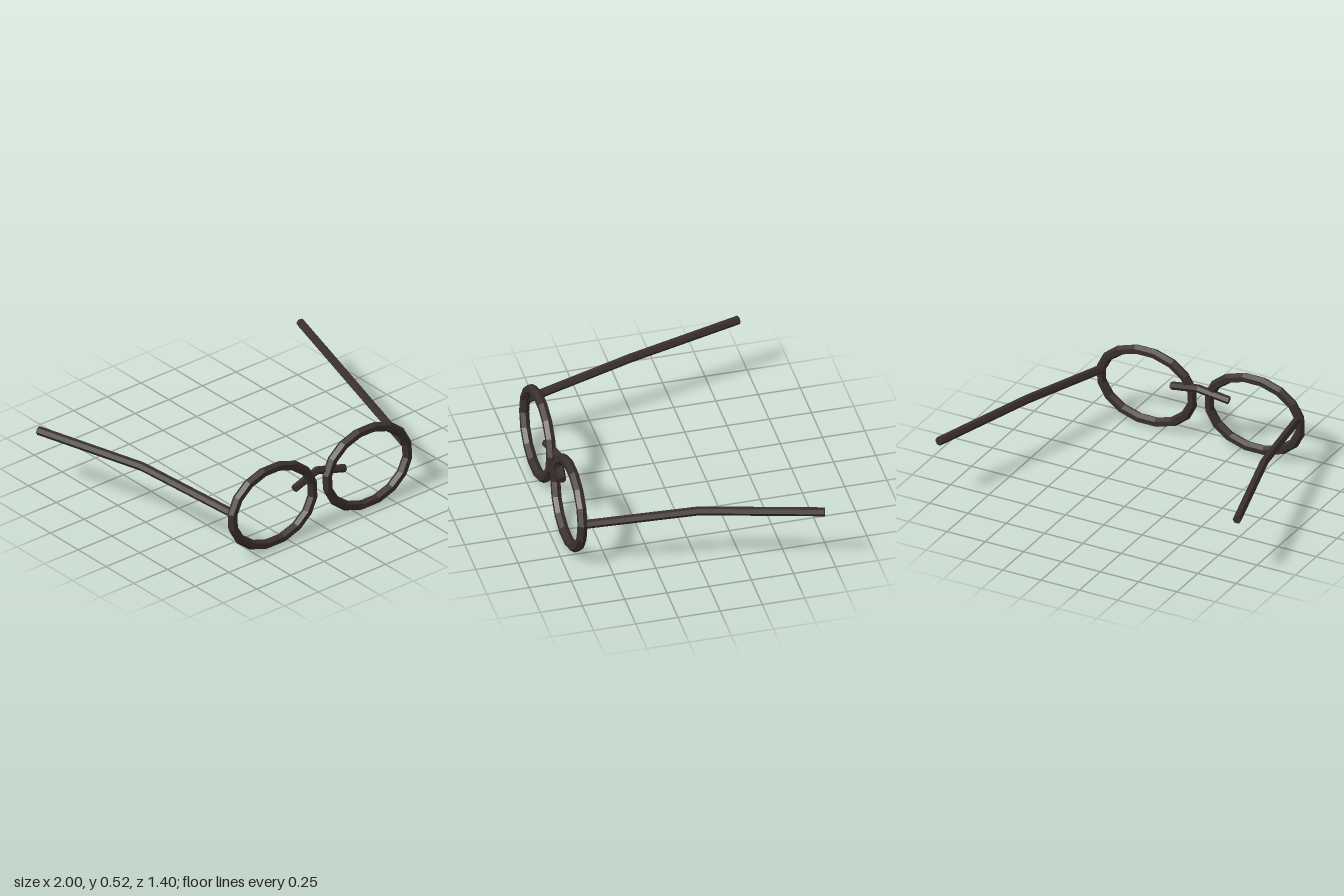
import * as THREE from 'three';

const SIDES = 6;

// Capped hexagonal bar swept through a few points, mitred at the bends
function bar(points, radius) {
  const pts = points.map(p => new THREE.Vector3(...p));
  const last = pts.length - 1;
  const up = new THREE.Vector3(0, 1, 0);
  const verts = [], index = [];
  pts.forEach((p, i) => {
    const tangent = pts[Math.min(i + 1, last)].clone().sub(pts[Math.max(i - 1, 0)]).normalize();
    const side = new THREE.Vector3().crossVectors(up, tangent).normalize();
    const lift = new THREE.Vector3().crossVectors(tangent, side);
    for (let k = 0; k < SIDES; k++) {
      const a = (k / SIDES) * Math.PI * 2;
      const v = p.clone()
        .addScaledVector(side, Math.cos(a) * radius)
        .addScaledVector(lift, Math.sin(a) * radius);
      verts.push(v.x, v.y, v.z);
    }
  });
  for (let i = 0; i < last; i++) {
    for (let k = 0; k < SIDES; k++) {
      const a = i * SIDES + k, b = i * SIDES + (k + 1) % SIDES;
      index.push(a, b, b + SIDES, a, b + SIDES, a + SIDES);
    }
  }
  // End caps
  const e = last * SIDES;
  for (let k = 1; k < SIDES - 1; k++) index.push(0, k + 1, k, e, e + k, e + k + 1);
  const g = new THREE.BufferGeometry();
  g.setAttribute('position', new THREE.Float32BufferAttribute(verts, 3));
  g.setIndex(index);
  const flat = g.toNonIndexed();
  flat.computeVertexNormals();
  return flat;
}

// Sixteen-sided oval ring with an even hexagonal section
function ovalRing(rx, ry, radius) {
  const g = new THREE.TorusGeometry(rx, radius, SIDES, 16);
  g.rotateZ(Math.PI / 16);
  const pos = g.attributes.position;
  for (let i = 0; i < pos.count; i++) {
    const x = pos.getX(i), y = pos.getY(i);
    pos.setY(i, y - (rx - ry) * y / Math.hypot(x, y));
  }
  const flat = g.toNonIndexed();
  flat.computeVertexNormals();
  return flat;
}

export function createModel() {
  const model = new THREE.Group();
  model.name = 'eyeglasses';
  const frame = new THREE.MeshStandardMaterial({ color: 0x3a2f2f });
  frame.name = 'dark brown frame';

  const add = (name, geometry) => {
    const mesh = new THREE.Mesh(geometry, frame);
    mesh.name = name;
    model.add(mesh);
    return mesh;
  };

  for (const [label, s] of [['left', 1], ['right', -1]]) {
    // Rim, leaning back slightly at the top
    const rim = add(label + 'Rim', ovalRing(0.301, 0.235, 0.03));
    rim.position.set(0.352 * s, 0.265, 0.66);
    rim.rotation.x = -0.062;

    // Temple arm with one bend
    add(label + 'Temple', bar([
      [0.638 * s, 0.308, 0.645],
      [0.775 * s, 0.382, 0],
      [0.974 * s, 0.387, -0.692],
    ], 0.026));
  }

  // Nose bridge, arched up and back in the middle
  add('bridge', bar([
    [-0.187, 0.311, 0.657],
    [0, 0.352, 0.631],
    [0.187, 0.311, 0.657],
  ], 0.024));

  return model;
}
